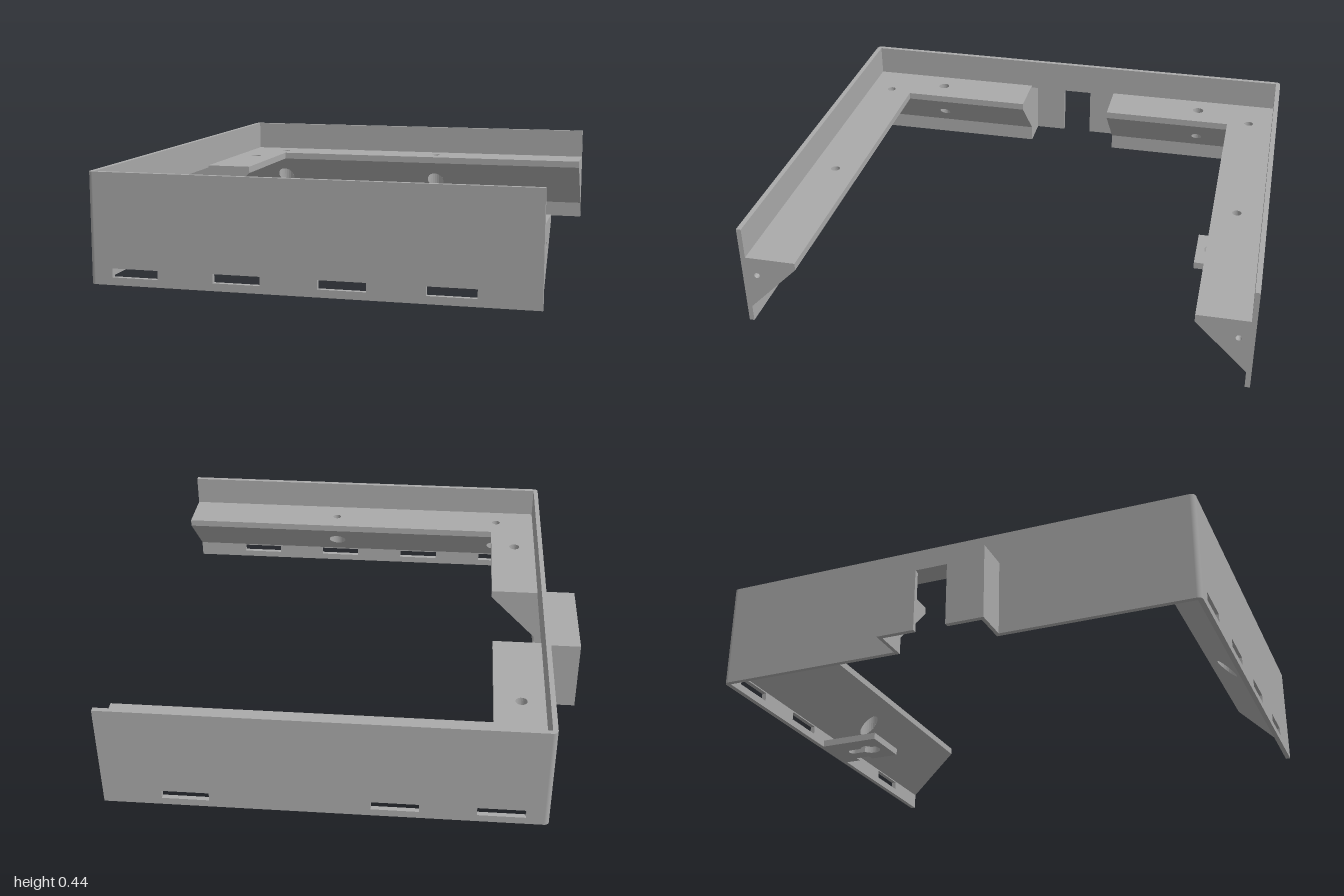
import * as THREE from 'three';
import { mergeGeometries } from 'three/addons/utils/BufferGeometryUtils.js';

const T = 0.02;      // wall thickness
const H = 0.435;     // wall height
const D = 0.205;     // ledge depth
const LEDGE_LOW = 0.07, LEDGE_TOP = 0.305;
const X0 = -0.77, X1 = 0.93, ZI = 0.98; // inner faces of the walls, open end

// Reverse the corner order of every triangle and recompute flat normals
function flip(geo) {
  const g = geo.index ? geo.toNonIndexed() : geo.clone();
  for (const name of ['position', 'uv']) {
    const a = g.attributes[name], n = a.itemSize;
    for (let i = 0; i < a.count; i += 3) {
      for (let k = 0; k < n; k++) {
        const p = (i + 1) * n + k, q = (i + 2) * n + k;
        [a.array[p], a.array[q]] = [a.array[q], a.array[p]];
      }
    }
  }
  g.computeVertexNormals();
  return g;
}

function transform(geo, matrix) {
  const g = geo.clone().applyMatrix4(matrix);
  return matrix.determinant() < 0 ? flip(g) : g;
}

const polygon = pts => new THREE.Shape(pts.map(p => new THREE.Vector2(...p)));
const circle = (x, y, r) => new THREE.Path().absarc(x, y, r, 0, Math.PI * 2, true);

function extrude(shape, depth) {
  return new THREE.ExtrudeGeometry(shape, { depth, bevelEnabled: false, curveSegments: 16 });
}

// Upright panel with a notch cut up from its bottom edge
function notchedPanel(half, height, notchHalf, notchHeight) {
  const g = extrude(polygon([
    [-half, 0], [-notchHalf, 0], [-notchHalf, notchHeight], [notchHalf, notchHeight],
    [notchHalf, 0], [half, 0], [half, height], [-half, height],
  ]), T);
  return g.rotateY(Math.PI / 2);
}

// Side wall with a row of slots near the bottom
function slottedWall(slots) {
  const s = polygon([[X0, 0], [X1, 0], [X1, H], [X0, H]]);
  for (const x of slots) {
    const a = x - 0.0925, b = x + 0.0925;
    s.holes.push(polygon([[a, 0.03], [a, 0.065], [b, 0.065], [b, 0.03]]));
  }
  return extrude(s, T);
}

// Inward-facing wall of a vertical hole; top and bottom heights are functions of z
function holeWall(u, v, r, top, bottom) {
  const g = new THREE.CylinderGeometry(r, r, 1, 24, 1, true).translate(u, 0, v);
  const p = g.attributes.position;
  for (let i = 0; i < p.count; i++) p.setY(i, p.getY(i) > 0 ? top : bottom(p.getZ(i)));
  return flip(g);
}

// Sloped ledge along x, wall at z = 0, mitred at x = 0; holes are [x, z, radius, bore radius]
function ledge(length, holes, endHole) {
  const slope = z => LEDGE_LOW + z;
  const plan = wide => {
    const s = polygon([[0, 0], [length, 0], [length, D], [D, D]]);
    for (const [u, v, r, bore] of holes) s.holes.push(circle(u, v, wide ? bore : r));
    return new THREE.ShapeGeometry(s, 16).rotateX(Math.PI / 2);
  };
  // sloped underside and flat top
  const under = plan(true);
  const p = under.attributes.position;
  for (let i = 0; i < p.count; i++) p.setY(i, slope(p.getZ(i)));
  const parts = [under, flip(plan(false)).translate(0, LEDGE_TOP, 0)];
  // narrow inner lip
  const lipLow = slope(D), lipH = LEDGE_TOP - lipLow;
  parts.push(new THREE.PlaneGeometry(length - D, lipH)
    .translate((length + D) / 2, lipLow + lipH / 2, D));
  // end cap, with an optional blind hole
  const cap = polygon([[0, LEDGE_LOW], [0, LEDGE_TOP], [-D, LEDGE_TOP], [-D, lipLow]]);
  if (endHole) {
    cap.holes.push(circle(-0.04, 0.225, 0.012));
    parts.push(flip(new THREE.CylinderGeometry(0.012, 0.012, 0.06, 16, 1, true)
      .rotateZ(Math.PI / 2).translate(length - 0.03, 0.225, 0.04)));
    parts.push(new THREE.CircleGeometry(0.012, 16).rotateY(Math.PI / 2)
      .translate(length - 0.06, 0.225, 0.04));
  }
  parts.push(new THREE.ShapeGeometry(cap, 16).rotateY(Math.PI / 2).translate(length, 0, 0));
  // screw holes, counterbored from below where the bore is wider
  for (const [u, v, r, bore] of holes) {
    const step = 0.255;
    parts.push(holeWall(u, v, r, LEDGE_TOP, () => step), holeWall(u, v, bore, step, slope));
    if (bore > r) {
      parts.push(new THREE.RingGeometry(r, bore, 24).rotateX(Math.PI / 2).translate(u, step, v));
    }
  }
  const merged = mergeGeometries(parts.map(g => (g.index ? g.toNonIndexed() : g)));
  merged.computeVertexNormals();
  return merged;
}

// Flat tab with a keyhole and a notch in one edge
function keyholeTab() {
  const s = polygon([
    [-0.02, 0.715], [0.2, 0.715], [0.2, 0.845], [0.17, 0.845],
    [0.17, 0.91], [0.2, 0.91], [0.2, ZI], [-0.02, ZI],
  ]);
  const cx = 0.09, cz = 0.795, r = 0.045, w = 0.021, end = 0.885;
  const a = Math.acos(w / r);
  const key = new THREE.Path();
  key.absarc(cx, cz, r, a, Math.PI - a, true);
  key.lineTo(cx - w, end);
  key.absarc(cx, end, w, Math.PI, 0, true);
  key.closePath();
  s.holes.push(key);
  return extrude(s, 0.03).rotateX(-Math.PI / 2);
}

export function createModel() {
  const model = new THREE.Group();
  const grey = new THREE.MeshStandardMaterial({ color: 0xaaaaaa, side: THREE.DoubleSide });
  grey.name = 'grey plastic';
  const add = (name, geo, parent = model) => {
    const m = new THREE.Mesh(geo, grey);
    m.name = name;
    parent.add(m);
    return m;
  };

  // Walls
  add('frontWall', slottedWall([-0.6075, -0.2025, 0.2025, 0.6075]).translate(0, 0, ZI));
  add('backWall', slottedWall([-0.6075, -0.2025, 0.6075]).translate(0, 0, -ZI - T));
  add('sideWall', notchedPanel(ZI, H, 0.205, 0.295).translate(X0 - T, 0, 0));
  // Rounded outer corners
  for (const s of [1, -1]) {
    add(s > 0 ? 'frontCorner' : 'backCorner',
      new THREE.CylinderGeometry(T, T, H, 8, 1, false, s > 0 ? -Math.PI / 2 : Math.PI, Math.PI / 2)
        .translate(X0, H / 2, s * ZI));
  }

  // Ledges, mirrored front to back
  const long = ledge(X1 - X0, [[0.18, 0.105, 0.019, 0.04], [0.975, 0.105, 0.019, 0.04]], true)
    .translate(X0, 0, -ZI);
  const swapXZ = new THREE.Matrix4().set(0, 0, 1, X0, 0, 1, 0, 0, 1, 0, 0, -ZI, 0, 0, 0, 1);
  const short = transform(ledge(0.775, [[0.35, 0.095, 0.024, 0.024]], false), swapXZ);
  const mirrorZ = new THREE.Matrix4().makeScale(1, 1, -1);
  add('backLedge', long);
  add('frontLedge', transform(long, mirrorZ));
  add('sideLedgeBack', short);
  add('sideLedgeFront', transform(short, mirrorZ));

  // Hollow cable housing outside the side wall
  const housing = new THREE.Group();
  housing.name = 'cableHousing';
  model.add(housing);
  const xa = -0.935, xb = X0 - T, len = xb - xa - T, mid = (xa + T + xb) / 2;
  add('housingEnd', notchedPanel(0.22, 0.305, 0.066, 0.255).translate(xa, 0, 0), housing);
  add('housingTop', new THREE.BoxGeometry(len, 0.01, 0.44).translate(mid, 0.3, 0), housing);
  for (const s of [1, -1]) {
    add('housingSide', new THREE.BoxGeometry(len, 0.295, 0.015)
      .translate(mid, 0.1475, s * 0.2125), housing);
  }

  // Mounting tab at the foot of the back wall
  add('keyholeTab', keyholeTab());
  return model;
}
